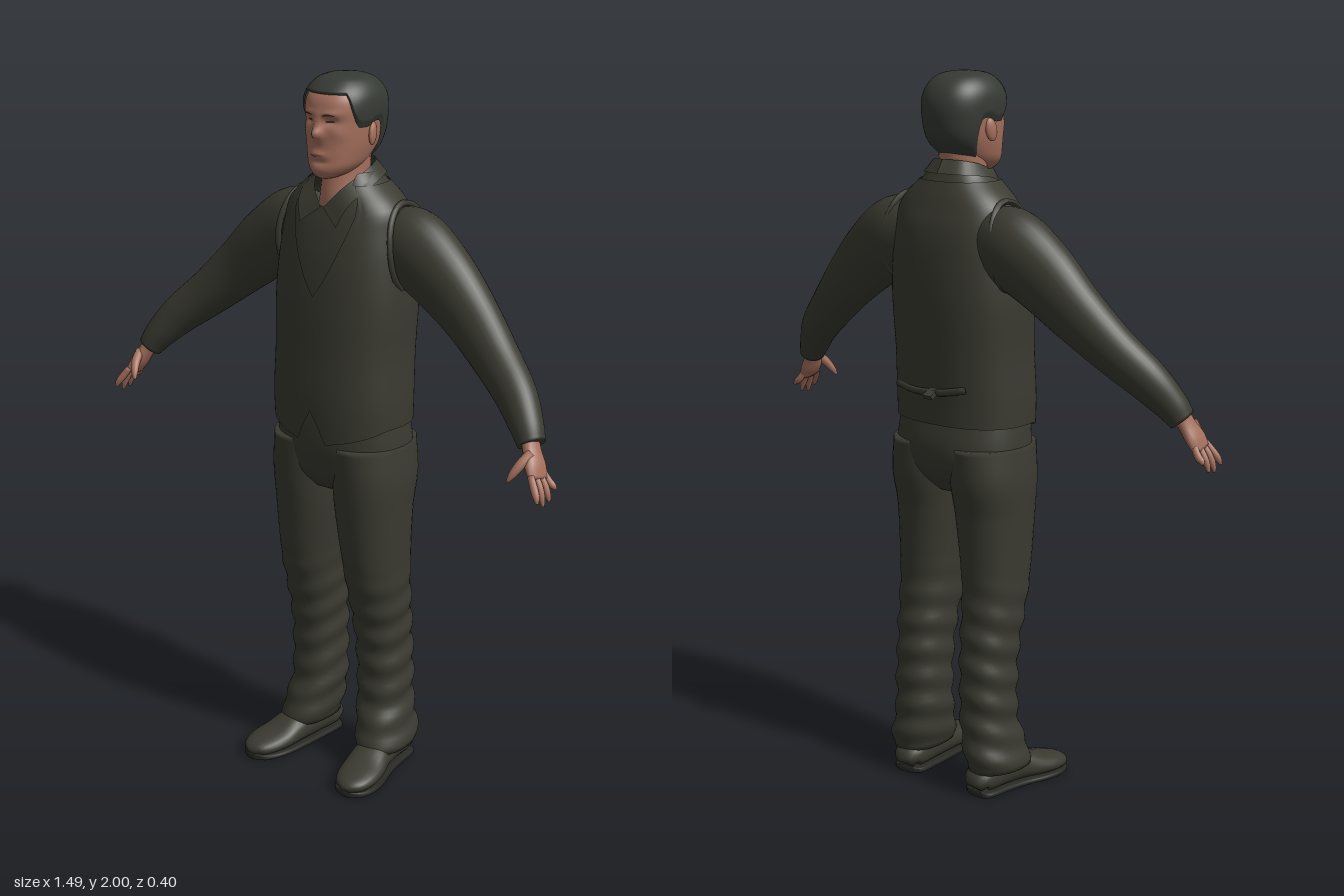
import * as THREE from 'three';

const mat = (name, color, side = THREE.FrontSide) => {
  const m = new THREE.MeshStandardMaterial({ color, side });
  m.name = name;
  return m;
};

// Smooth interpolation of table rows, keyed by their first value
function at(rows, k) {
  let i = 0;
  while (i < rows.length - 2 && k > rows[i + 1][0]) i++;
  const p = rows[i], q = rows[i + 1], h = q[0] - p[0];
  const t = Math.min(1, Math.max(0, (k - p[0]) / h));
  const o = rows[Math.max(0, i - 1)], r = rows[Math.min(rows.length - 1, i + 2)];
  return p.slice(1).map((a, n) => {
    const b = q[n + 1];
    const m0 = (b - o[n + 1]) / (q[0] - o[0]) * h, m1 = (r[n + 1] - a) / (r[0] - p[0]) * h;
    const t2 = t * t, t3 = t2 * t;
    return (2 * t3 - 3 * t2 + 1) * a + (t3 - 2 * t2 + t) * m0 + (3 * t2 - 2 * t3) * b + (t3 - t2) * m1;
  });
}
const pow = (s, p) => Math.sign(s) * Math.abs(s) ** (2 / p);
const smooth = THREE.MathUtils.smoothstep;
const lerp = THREE.MathUtils.lerp;

// Closed skin around point(angle, v), with optional end caps
function skin(point, nu, nv, caps = [false, false]) {
  const pos = [], idx = [];
  for (let j = 0; j <= nv; j++) for (let i = 0; i < nu; i++) pos.push(...point(i / nu * Math.PI * 2, j / nv));
  for (let j = 0; j < nv; j++) for (let i = 0; i < nu; i++) {
    const a = j * nu + i, b = j * nu + (i + 1) % nu;
    idx.push(a, b, b + nu, a, b + nu, a + nu);
  }
  caps.forEach((on, e) => {
    if (!on) return;
    const s = e * nv * nu, n = pos.length / 3, c = [0, 0, 0];
    for (let i = 0; i < nu; i++) for (let k = 0; k < 3; k++) c[k] += pos[(s + i) * 3 + k] / nu;
    pos.push(...c);
    for (let i = 0; i < nu; i++) {
      const a = s + i, b = s + (i + 1) % nu;
      e ? idx.push(a, b, n) : idx.push(b, a, n);
    }
  });
  return finish(pos, idx);
}
function finish(pos, idx) {
  const g = new THREE.BufferGeometry();
  g.setAttribute('position', new THREE.Float32BufferAttribute(pos, 3));
  g.setIndex(idx);
  g.computeVertexNormals();
  return g;
}

// Horizontal ring from rows [y, centreX, radiusX, frontZ, backZ]
function ring(rows, a, y, p = 2.3, grow = 0) {
  const [cx, rx, zf, zb] = at(rows, y);
  return [cx + (rx + grow) * pow(Math.sin(a), p), y, (zf + zb) / 2 + ((zf - zb) / 2 + grow) * pow(Math.cos(a), p)];
}

// Limb through points [x, y, z, thickness, breadth]; breadth lies along the given axis
function limb(pts, axis, nu = 20, nv = 24, p = 2) {
  const rows = pts.map((q, i) => [i / (pts.length - 1), ...q]);
  const V = (t) => new THREE.Vector3(...at(rows, t).slice(0, 3));
  return skin((a, v) => {
    const t = V(Math.min(1, v + 0.01)).sub(V(Math.max(0, v - 0.01))).normalize();
    const B = axis.clone().addScaledVector(t, -axis.dot(t)).normalize();
    const N = t.clone().cross(B), [, , , ra, rb] = at(rows, v);
    return V(v).addScaledVector(N, ra * pow(Math.sin(a), p)).addScaledVector(B, rb * pow(Math.cos(a), p)).toArray();
  }, nu, nv, [true, true]);
}

function mirrored(g) {
  const m = g.clone().scale(-1, 1, 1), ix = m.index.array;
  for (let i = 0; i < ix.length; i += 3) [ix[i], ix[i + 1]] = [ix[i + 1], ix[i]];
  m.computeVertexNormals();
  return m;
}

export function createModel() {
  const root = new THREE.Group();
  root.name = 'standingMan';
  const cloth = mat('dark olive cloth', 0x3a3a31, THREE.DoubleSide);
  const flesh = mat('skin', 0xa5705d);
  const hairMat = mat('dark hair', 0x363a34, THREE.DoubleSide);
  const soleMat = mat('dark sole', 0x282824);
  const eyeMat = mat('dark eye', 0x3c2a25);
  const lipMat = mat('lip', 0x8a5549);
  const add = (name, g, m) => {
    const mesh = new THREE.Mesh(g, m);
    mesh.name = name;
    root.add(mesh);
  };
  const pair = (name, g, m) => { add('left ' + name, g, m); add('right ' + name, mirrored(g), m); };
  const Z = new THREE.Vector3(0, 0, 1), Y = new THREE.Vector3(0, 1, 0);
  const fold = (a) => Math.PI - Math.abs(Math.PI - a); // angle away from the front

  // Shirt and waistcoat share one body shape
  const body = [[1.0, 0, .195, .122, -.155], [1.12, 0, .198, .126, -.158], [1.25, 0, .195, .121, -.166],
    [1.4, 0, .198, .114, -.176], [1.52, 0, .19, .101, -.175], [1.6, 0, .18, .084, -.166],
    [1.65, 0, .17, .068, -.15], [1.685, 0, .14, .055, -.138], [1.715, 0, .105, .047, -.125], [1.76, 0, .075, .035, -.105]];
  add('shirt', skin((a, v) => ring(body, a, lerp(1.1, 1.655 + .09 * smooth(fold(a), 0, 1), v), 2.4), 64, 40), cloth);
  const hem = (a) => {
    const f = fold(a);
    return f < .175 ? lerp(1.1, 1.01, f / .175) : 1.01 + .05 * Math.min(1, (f - .175) / 1.1);
  };
  const neckline = (a) => lerp(1.42, 1.715, Math.min(1, fold(a) / .7));
  add('waistcoat', skin((a, v) => ring(body, a, lerp(hem(a), neckline(a), v), 2.4, .006), 72, 44), cloth);

  // Armhole edges
  const hole = [];
  for (let i = 0; i < 16; i++) {
    const a = i / 16 * Math.PI * 2, c = Math.cos(a);
    hole.push(new THREE.Vector3(.192 - .012 * c - .01 * c * c, 1.55 + .118 * c, -.055 + .085 * Math.sin(a)));
  }
  pair('armhole edge', new THREE.TubeGeometry(new THREE.CatmullRomCurve3(hole, true), 40, .009, 6, true), cloth);

  // Back strap with its loose end
  const strap = [[-.12, 1.17, -.164], [-.04, 1.155, -.172], [.05, 1.15, -.172], [.12, 1.16, -.164]];
  add('back strap', limb(strap.map((q) => [...q, .01, .006]), Z, 8, 12), cloth);
  add('strap end', new THREE.BoxGeometry(.03, .012, .035).rotateX(-.5).translate(-.015, 1.15, -.18), cloth);

  // Collar: a strip from the neck edge to the outer edge
  const V = (q) => new THREE.Vector3(...q);
  const inner = new THREE.CatmullRomCurve3([[.004, 1.655, .078], [.045, 1.705, .052], [.074, 1.75, -.02], [.055, 1.768, -.085], [0, 1.772, -.112]].map(V));
  const outer = new THREE.CatmullRomCurve3([[.062, 1.612, .096], [.085, 1.67, .07], [.106, 1.72, -.02], [.075, 1.733, -.105], [0, 1.735, -.135]].map(V));
  const cp = [], ci = [];
  for (let i = 0; i <= 24; i++) {
    cp.push(...inner.getPoint(i / 24).toArray(), ...outer.getPoint(i / 24).toArray());
    if (i) ci.push(2 * i - 2, 2 * i - 1, 2 * i + 1, 2 * i - 2, 2 * i + 1, 2 * i);
  }
  pair('collar', finish(cp, ci), cloth);

  // Hips and trouser legs, rumpled towards the hems
  const hips = [[.86, 0, .1, .07, -.1], [.9, 0, .17, .1, -.14], [.95, 0, .2, .113, -.163], [1.0, 0, .2, .12, -.168], [1.08, 0, .192, .118, -.155], [1.14, 0, .185, .11, -.145]];
  add('hips', skin((a, v) => ring(hips, a, lerp(.86, 1.14, v)), 48, 20, [true, true]), cloth);
  const leg = [[.07, .142, .072, .06, -.142], [.11, .137, .075, .058, -.15], [.2, .122, .073, .03, -.147], [.3, .12, .073, .025, -.146],
    [.4, .117, .074, .032, -.142], [.5, .116, .08, .05, -.132], [.6, .115, .085, .074, -.125], [.8, .107, .099, .1, -.137], [.9, .106, .104, .11, -.158], [1.0, .1, .1, .115, -.162]];
  pair('trouser leg', skin((a, v) => {
    const y = lerp(.07, 1, v), w = 1 - smooth(y, .45, .68);
    return ring(leg, a, y, 2.2, w * .004 * Math.sin(y * 75 + 2 * Math.sin(a + 1)));
  }, 36, 70, [true, true]), cloth);

  // Shoes and soles
  const shoe = [[-.134, .13, .025, .04], [-.115, .132, .046, .085], [-.04, .138, .05, .11], [.03, .147, .055, .1],
    [.09, .16, .062, .073], [.14, .17, .059, .06], [.18, .176, .042, .048], [.198, .178, .012, .03]];
  const foot = (low, top, grow) => limb(shoe.map(([z, x, w, h]) => {
    const t = Math.min(top, h);
    return [x, (low + t) / 2, z, w + grow, (t - low) / 2];
  }), Y, 24, 28, low ? 2.2 : 5);
  pair('shoe', foot(.008, 1, 0), cloth);
  pair('sole', foot(0, .018, .003), soleMat);

  // Sleeves
  pair('sleeve', limb([[.12, 1.575, -.06, .08, .075], [.2, 1.55, -.065, .108, .084], [.3, 1.485, -.058, .1, .077], [.4, 1.4, -.048, .083, .066],
    [.5, 1.312, -.022, .068, .058], [.585, 1.24, .01, .058, .052], [.64, 1.178, .04, .046, .044], [.668, 1.137, .056, .036, .038]], Z, 32, 44), cloth);

  // Hands: palm, four fingers and thumb
  pair('palm', limb([[.655, 1.165, .052, .024, .028], [.675, 1.125, .065, .02, .029], [.695, 1.09, .077, .019, .038], [.711, 1.06, .086, .012, .036]], Z, 16, 14), flesh);
  const reach = [1.03, 1.005, 1.0, 1.015];
  for (let i = 0; i < 4; i++) {
    const s = i - 1.5, end = reach[i];
    pair('finger ' + (i + 1), limb([[.704, 1.075, .084 + s * .018, .009, .009], [.722, 1.048, .087 + s * .023, .0105, .0105],
      [.734, lerp(1.048, end, .55), .09 + s * .026, .009, .009], [.74, end, .091 + s * .028, .004, .004]], Z, 10, 10), flesh);
  }
  pair('thumb', limb([[.684, 1.125, .085, .012, .013], [.674, 1.1, .115, .013, .013], [.662, 1.075, .133, .01, .01], [.654, 1.057, .142, .004, .004]], Z, 10, 10), flesh);

  // Neck
  const neck = [[1.62, 0, .075, .05, -.1], [1.68, 0, .065, .05, -.098], [1.74, 0, .062, .04, -.095], [1.82, 0, .065, .03, -.1]];
  add('neck', skin((a, v) => ring(neck, a, lerp(1.62, 1.82, v), 2), 32, 12), flesh);

  // Head with modelled face
  const head = [[1.733, 0, .022, .08, .02], [1.745, 0, .045, .09, -.03], [1.765, 0, .064, .095, -.065], [1.79, 0, .075, .094, -.095], [1.83, 0, .085, .093, -.125],
    [1.88, 0, .09, .092, -.137], [1.92, 0, .092, .092, -.137], [1.95, 0, .086, .08, -.126], [1.975, 0, .066, .052, -.1], [1.988, 0, .04, .022, -.066], [1.993, 0, .003, -.02, -.026]];
  const bump = (x, y, cx, cy, sx, sy, h) => h * Math.exp(-(((Math.abs(x) - cx) / sx) ** 2) - ((y - cy) / sy) ** 2);
  const face = (a, y) => {
    const q = ring(head, a, y, 2.25);
    if (q[2] > 0) {
      const x = q[0];
      q[2] += bump(x, y, 0, 1.853, .015, .016, .022) + bump(x, y, 0, 1.88, .011, .025, .012)
        + bump(x, y, 0, 1.798, .026, .01, .007) + bump(x, y, 0, 1.757, .025, .014, .005)
        + bump(x, y, .035, 1.906, .025, .009, .005) - bump(x, y, .036, 1.885, .017, .011, .009)
        + bump(x, y, .055, 1.855, .018, .018, .004) - bump(x, y, 0, 1.778, .03, .006, .003);
    }
    return q;
  };
  add('head', skin((a, v) => face(a, lerp(1.733, 1.993, v)), 80, 70, [true, true]), flesh);

  // Eyes, brows and mouth lie on the face surface
  const patch = (cx, cy, w, h, bend = 0) => {
    const pos = [], idx = [], n = 10;
    for (let i = 0; i <= n; i++) for (const s of [-1, 1]) {
      const t = i / n * 2 - 1, x = cx + t * w, y = cy - bend * t * t + s * h * Math.sqrt(1 - t * t);
      const rx = at(head, y)[1];
      const q = face(Math.asin(pow(x / rx, 2 / 2.25 * 2 * 1.125 * 1.125 / 1.265625 * .888889)), y);
      pos.push(q[0], y, q[2] + .002);
    }
    for (let i = 0; i < n; i++) idx.push(2 * i, 2 * i + 2, 2 * i + 3, 2 * i, 2 * i + 3, 2 * i + 1);
    return finish(pos, idx);
  };
  pair('eye', patch(.036, 1.886, .012, .003), eyeMat);
  pair('brow', patch(.037, 1.905, .018, .0025, .004), eyeMat);
  add('mouth', patch(0, 1.797, .025, .0035), lipMat);

  // Ears
  pair('ear', new THREE.SphereGeometry(1, 14, 10).scale(.009, .031, .018).rotateX(-.2).rotateY(.25).translate(.092, 1.848, -.022), flesh);

  // Hair cap with hairline, sideburns and nape
  const hairline = (a) => {
    const f = fold(a);
    return 1.953 - .085 * smooth(f, .75, 1.2) + .012 * smooth(f, 1.45, 1.6) - .105 * smooth(f, 1.75, 2.2);
  };
  add('hair', skin((a, v) => {
    const y = lerp(hairline(a), 1.993, 1 - (1 - v) ** 1.5);
    const q = ring(head, a, y, 2.25, .009 * Math.min(1, .3 + v * 7));
    q[1] += .007 * smooth(y, 1.93, 1.993);
    return q;
  }, 80, 40, [false, true]), hairMat);

  return root;
}
